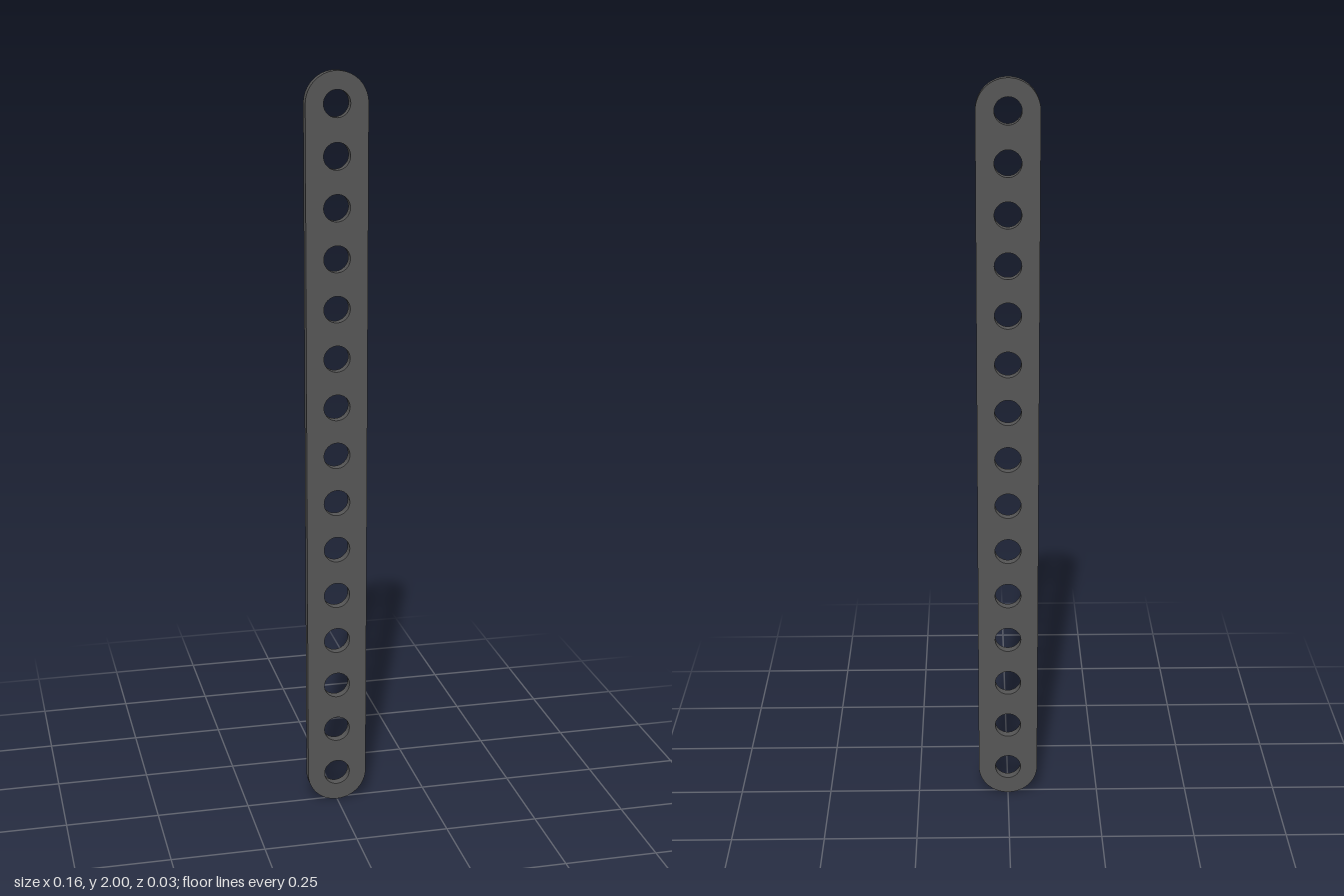
import * as THREE from 'three';
import { toCreasedNormals } from 'three/addons/utils/BufferGeometryUtils.js';

const LENGTH = 2;
const RADIUS = 0.0815; // half the strip's width, also its end radius
const THICKNESS = 0.025;
const HOLES = 15;
const HOLE_RADIUS = 0.035;

export function createModel() {
  const group = new THREE.Group();
  group.name = 'perforatedStrip';

  // Outline with rounded ends
  const low = RADIUS;
  const high = LENGTH - RADIUS;
  const outline = new THREE.Shape();
  outline.absarc(0, high, RADIUS, 0, Math.PI, false);
  outline.absarc(0, low, RADIUS, Math.PI, Math.PI * 2, false);
  outline.closePath();

  // Evenly spaced row of round holes, the end ones concentric with the ends
  for (let i = 0; i < HOLES; i++) {
    const y = THREE.MathUtils.lerp(low, high, i / (HOLES - 1));
    const hole = new THREE.Path();
    hole.absarc(0, y, HOLE_RADIUS, 0, Math.PI * 2, true);
    outline.holes.push(hole);
  }

  // Flat plate, smooth around the curves and sharp at the rims
  const plate = new THREE.ExtrudeGeometry(outline, {
    depth: THICKNESS,
    bevelEnabled: false,
    curveSegments: 32,
  });
  plate.translate(0, 0, -THICKNESS / 2);

  const strip = new THREE.Mesh(
    toCreasedNormals(plate, 0.6),
    new THREE.MeshStandardMaterial({ color: 0x555555 })
  );
  strip.name = 'strip';
  group.add(strip);
  return group;
}
